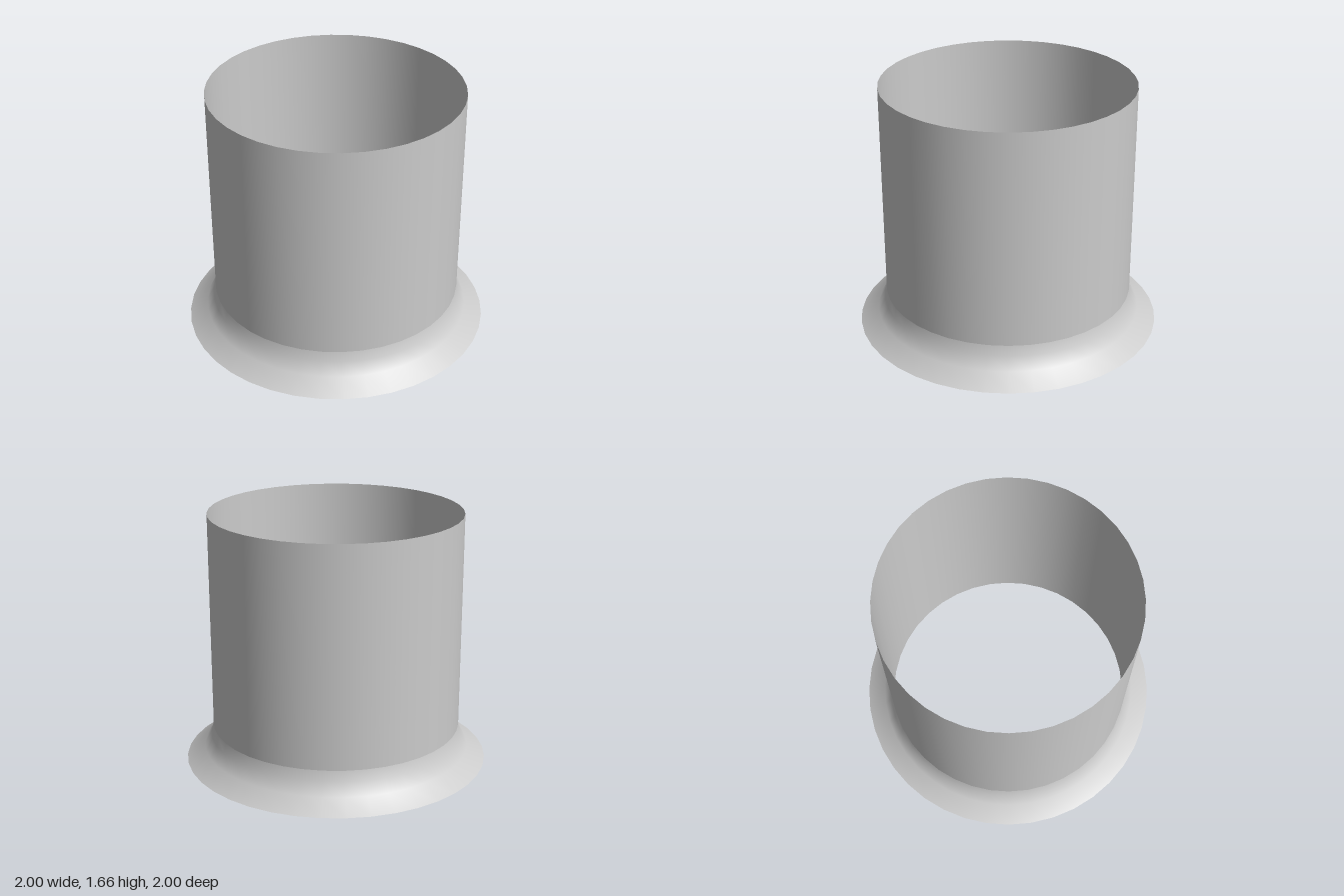
import * as THREE from 'three';

const SEGMENTS = 40;
const TUBE_RADIUS = 0.82;
const HEIGHT = 1.66;

export function createModel() {
  const group = new THREE.Group();
  const material = new THREE.MeshStandardMaterial({ color: 0xcccccc, side: THREE.DoubleSide });

  // Revolves a profile of [radius, height] pairs about the y axis
  const addLathe = (name, profile) => {
    const points = profile.map(([r, y]) => new THREE.Vector2(r, y));
    const mesh = new THREE.Mesh(new THREE.LatheGeometry(points, SEGMENTS), material);
    mesh.name = name;
    group.add(mesh);
  };

  // Thin open pipe, running down to the base inside the skirt
  addLathe('tube', [[TUBE_RADIUS, 0], [TUBE_RADIUS, HEIGHT]]);

  // Hollow flared skirt around the foot of the pipe
  addLathe('flaredSkirt', [[1, 0], [0.88, 0.08], [0.835, 0.165], [TUBE_RADIUS, 0.23]]);

  return group;
}
